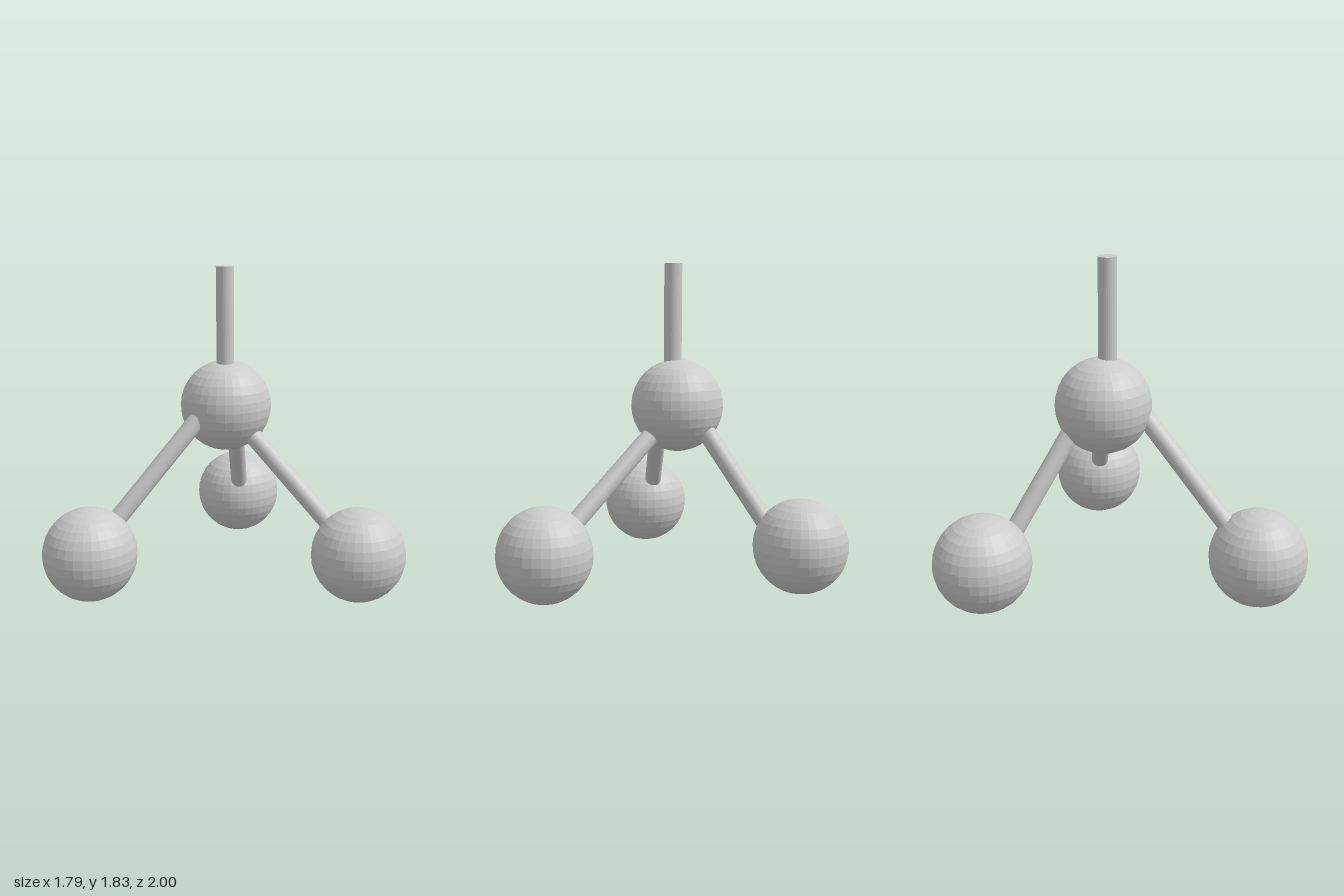
import * as THREE from 'three';

const BALL_RADIUS = 0.265;
const ROD_RADIUS = 0.051;

export function createModel() {
  const model = new THREE.Group();
  model.name = 'ballAndRodTripod';
  const material = new THREE.MeshStandardMaterial({ color: 0xcccccc, flatShading: true });
  const ballGeometry = new THREE.SphereGeometry(BALL_RADIUS, 32, 16);

  function addBall(name, position) {
    const ball = new THREE.Mesh(ballGeometry, material);
    ball.name = name;
    ball.position.set(...position);
    model.add(ball);
  }

  // Cylinder between two points, lengthened at each end to sink into the balls
  function addRod(name, from, to, startSink, endSink) {
    const a = new THREE.Vector3(...from);
    const b = new THREE.Vector3(...to);
    const dir = b.clone().sub(a).normalize();
    a.addScaledVector(dir, -startSink);
    b.addScaledVector(dir, endSink);
    const rod = new THREE.Mesh(
      new THREE.CylinderGeometry(ROD_RADIUS, ROD_RADIUS, a.distanceTo(b), 32), material);
    rod.name = name;
    rod.position.copy(a).add(b).multiplyScalar(0.5);
    rod.quaternion.setFromUnitVectors(new THREE.Vector3(0, 1, 0), dir);
    model.add(rod);
  }

  // Central ball and the three balls it stands on
  addBall('centreBall', [-0.265, 1.015, -0.078]);
  addBall('frontBall', [-0.63, 0.265, 0.735]);
  addBall('backBall', [-0.63, 0.265, -0.735]);
  addBall('leftBall', [0.63, 0.265, -0.078]);

  // Upright stem, slightly off the ball's axis
  addRod('stem', [-0.25, 1.2, -0.054], [-0.25, 1.825, -0.054], 0.1, 0);

  // Legs, given where they leave and enter the balls
  addRod('frontLeg', [-0.325, 0.93, 0.17], [-0.56, 0.45, 0.555], 0.1, 0.1);
  addRod('backLeg', [-0.35, 0.825, -0.295], [-0.49, 0.445, -0.535], 0.1, 0.1);
  addRod('leftLeg', [-0.072, 0.85, -0.078], [0.42, 0.43, -0.078], 0.1, 0.1);

  return model;
}
